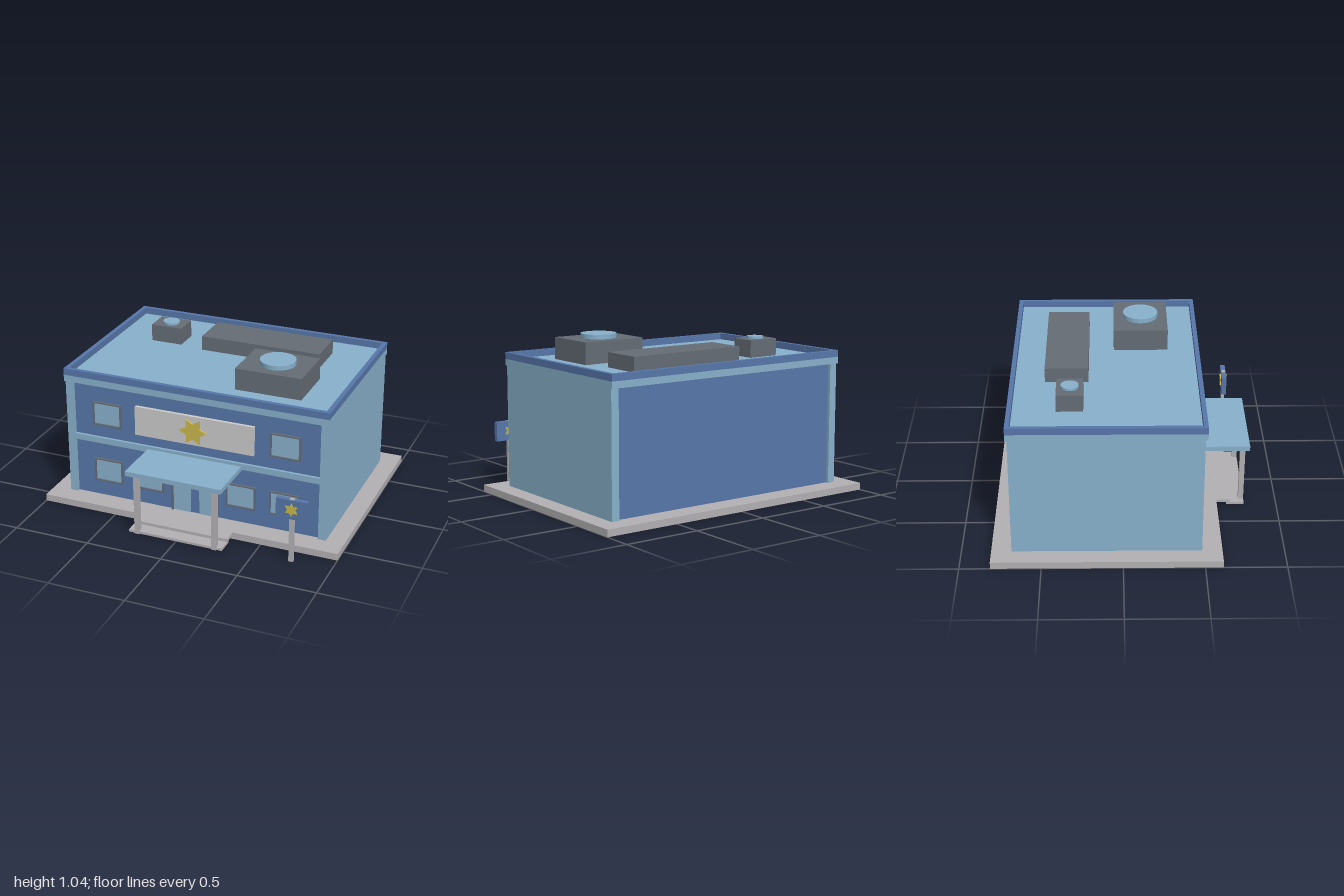
import * as THREE from 'three';

const mat = (name, color) => {
  const m = new THREE.MeshStandardMaterial({ color });
  m.name = name;
  return m;
};

export function createModel() {
  const light = mat('light blue', 0x88b0cb);
  const blue = mat('wall blue', 0x5676a9);
  const grey = mat('concrete grey', 0xb2b0b2);
  const dark = mat('dark grey', 0x656c75);
  const pale = mat('pale sign grey', 0xc9c9c9);
  const gold = mat('gold', 0xc9b64a);

  const model = new THREE.Group();
  model.name = 'stationBuilding';

  const add = (name, geo, material) => {
    const m = new THREE.Mesh(geo, material);
    m.name = name;
    model.add(m);
    return m;
  };
  // Box given by its extents
  const box = (name, material, x0, x1, y0, y1, z0, z1) => {
    const m = add(name, new THREE.BoxGeometry(x1 - x0, y1 - y0, z1 - z0), material);
    m.position.set((x0 + x1) / 2, (y0 + y1) / 2, (z0 + z1) / 2);
    return m;
  };
  const rect = (C, x0, x1, y0, y1) => new C([
    new THREE.Vector2(x0, y0), new THREE.Vector2(x1, y0),
    new THREE.Vector2(x1, y1), new THREE.Vector2(x0, y1)]);
  const extrude = (shape, depth) =>
    new THREE.ExtrudeGeometry(shape, { depth, bevelEnabled: false });
  // Six-pointed star plate
  const star = (name, r, inner, turn, x, y, z, depth) => {
    const pts = [];
    for (let i = 0; i < 12; i++) {
      const a = turn + (i * Math.PI) / 6, q = i % 2 ? inner : r;
      pts.push(new THREE.Vector2(Math.cos(a) * q, Math.sin(a) * q));
    }
    add(name, extrude(new THREE.Shape(pts), depth), gold).position.set(x, y, z);
  };

  // Ground slab and main body
  box('groundSlab', grey, -1, 1, 0, 0.045, -0.81, 0.61);
  box('walls', blue, -0.87, 0.87, 0.045, 0.85, -0.665, 0.465);
  for (const s of [-1, 1]) {
    const a = s * 0.83, b = s * 0.882;
    box('sideWall', light, Math.min(a, b), Math.max(a, b), 0.045, 0.835, -0.685, 0.485);
  }
  box('floorBand', light, -0.83, 0.83, 0.425, 0.465, 0.46, 0.483);

  // Cornice, roof and parapet
  box('corniceRoof', light, -0.885, 0.885, 0.83, 0.873, -0.697, 0.5);
  const rim = rect(THREE.Shape, -0.885, 0.885, -0.5, 0.697);
  rim.holes.push(rect(THREE.Path, -0.857, 0.857, -0.472, 0.669));
  const parapet = add('parapet', extrude(rim, 0.043), blue);
  parapet.rotation.x = -Math.PI / 2;
  parapet.position.y = 0.873;

  // Rooftop units
  box('smallVent', dark, -0.61, -0.397, 0.87, 0.985, -0.403, -0.238);
  box('longDuct', dark, -0.236, 0.578, 0.87, 0.968, -0.482, -0.21);
  box('largeVent', dark, 0.202, 0.636, 0.87, 1.014, -0.05, 0.3);
  for (const [r, x, z, y0, y1] of [[0.055, -0.503, -0.32, 0.98, 1.0], [0.114, 0.42, 0.125, 1.01, 1.043]]) {
    add('ventFan', new THREE.CylinderGeometry(r, r, y1 - y0, 32), light)
      .position.set(x, (y0 + y1) / 2, z);
  }

  // Framed windows
  const frame = rect(THREE.Shape, -0.098, 0.098, -0.08, 0.08);
  frame.holes.push(rect(THREE.Path, -0.089, 0.089, -0.071, 0.071));
  const frameGeo = extrude(frame, 0.016);
  for (const [x, y] of [[0.602, 0.63], [0.602, 0.23], [0.313, 0.23]]) {
    for (const s of [-1, 1]) {
      add('windowFrame', frameGeo, dark).position.set(s * x, y, 0.464);
      box('windowPane', light, s * x - 0.09, s * x + 0.09, y - 0.072, y + 0.072, 0.464, 0.47);
    }
  }

  // Entrance: chamfered frame and two glass doors
  const door = new THREE.Shape([
    [-0.16, 0.045], [-0.147, 0.045], [-0.147, 0.348], [0.147, 0.348], [0.147, 0.045], [0.16, 0.045],
    [0.16, 0.357], [0.148, 0.37], [-0.148, 0.37], [-0.16, 0.357],
  ].map(([x, y]) => new THREE.Vector2(x, y)));
  add('doorFrame', extrude(door, 0.02), dark).position.z = 0.464;
  for (const s of [-1, 1]) {
    box('doorPane', light, s * 0.0885 - 0.0585, s * 0.0885 + 0.0585, 0.045, 0.348, 0.464, 0.471);
  }

  // Canopy, its posts and the entrance steps
  box('canopy', light, -0.318, 0.318, 0.415, 0.446, 0.465, 0.813);
  for (const s of [-1, 1]) {
    box('canopyPost', grey, s * 0.26 - 0.016, s * 0.26 + 0.016, 0.005, 0.415, 0.755, 0.788);
  }
  box('upperStep', grey, -0.315, 0.315, 0.025, 0.0455, 0.58, 0.7);
  box('lowerStep', grey, -0.315, 0.315, 0.01, 0.026, 0.675, 0.788);

  // Facade sign
  box('facadeSign', pale, -0.4, 0.4, 0.535, 0.73, 0.46, 0.487);
  star('facadeStar', 0.092, 0.051, 0, 0, 0.63, 0.486, 0.014);

  // Free-standing sign
  box('signPost', grey, 0.726, 0.755, 0, 0.428, 0.708, 0.73);
  box('signBoard', blue, 0.641, 0.84, 0.296, 0.424, 0.703, 0.735);
  star('signStar', 0.045, 0.025, Math.PI / 2, 0.74, 0.36, 0.697, 0.044);

  return model;
}
